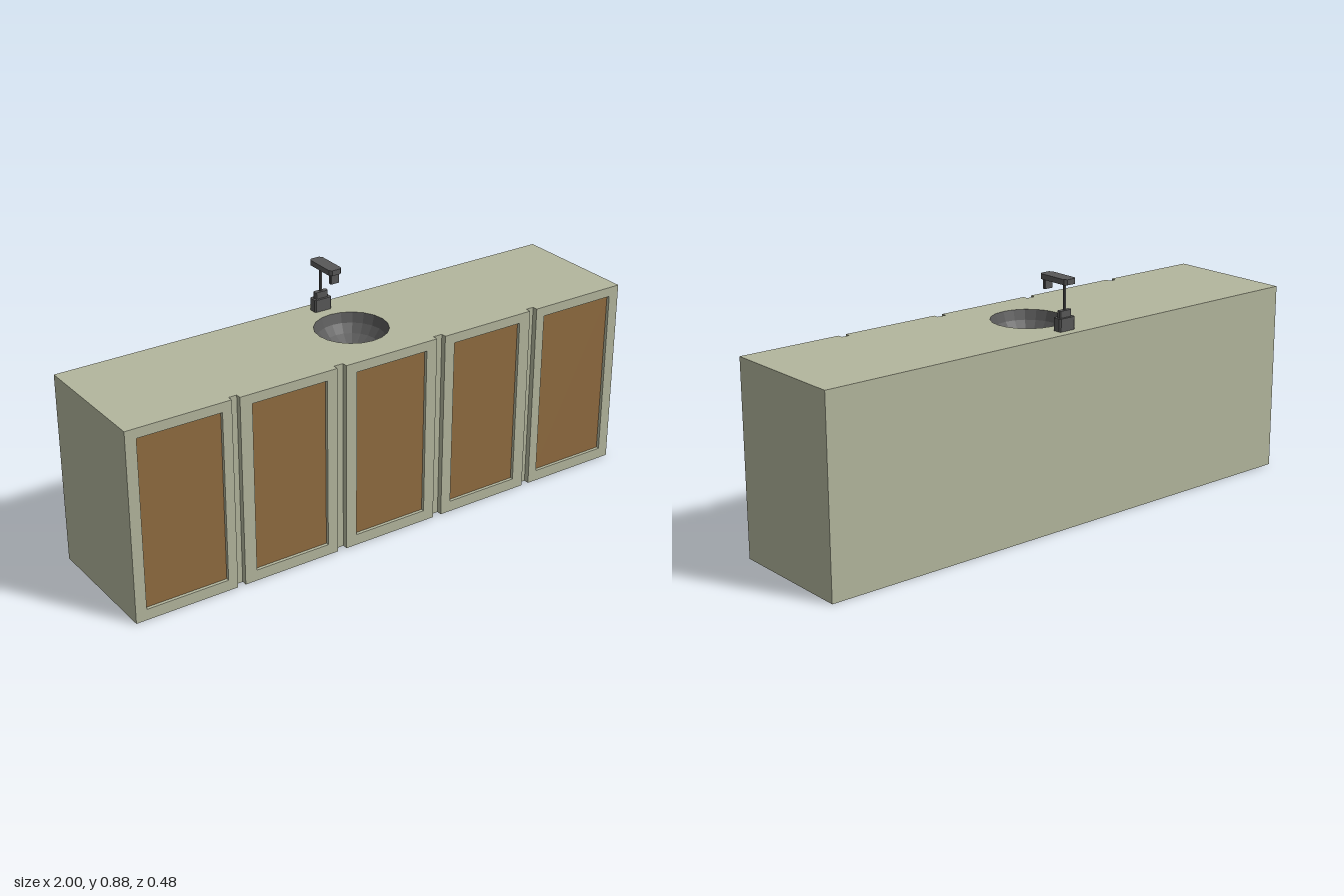
import * as THREE from 'three';

const paint = new THREE.MeshStandardMaterial({ color: 0xb3b69d });
const wood = new THREE.MeshStandardMaterial({ color: 0x8f6b3f });
const metal = new THREE.MeshStandardMaterial({ color: 0x585858, flatShading: true });
const bowlMetal = new THREE.MeshStandardMaterial({ color: 0x585858, flatShading: true, side: THREE.DoubleSide });

const HEIGHT = 0.695, BACK = -0.24, FRONT = 0.24, FACE = 0.22;
const SINK_R = 0.13, SINK_SIDES = 20;

function add(parent, name, geometry, material) {
  const mesh = new THREE.Mesh(geometry, material);
  mesh.name = name;
  parent.add(mesh);
  return mesh;
}

function box(x0, x1, y0, y1, z0, z1) {
  return new THREE.BoxGeometry(x1 - x0, y1 - y0, z1 - z0)
    .translate((x0 + x1) / 2, (y0 + y1) / 2, (z0 + z1) / 2);
}

function rect(Type, x0, x1, y0, y1) {
  return new Type([[x0, y0], [x1, y0], [x1, y1], [x0, y1]].map(([x, y]) => new THREE.Vector2(x, y)));
}

// Upright extrusion of a plan drawn as (x, -z)
function extrudeUp(shape, y0, y1) {
  return new THREE.ExtrudeGeometry(shape, { depth: y1 - y0, bevelEnabled: false })
    .rotateX(-Math.PI / 2).translate(0, y0, 0);
}

// Bar with cut corners in plan, centred on x = 0
function chamferBar(halfWidth, z0, z1, y0, y1, c) {
  const w = halfWidth, a = -z1, b = -z0;
  const plan = [[-w + c, a], [w - c, a], [w, a + c], [w, b - c], [w - c, b], [-w + c, b], [-w, b - c], [-w, a + c]];
  return extrudeUp(new THREE.Shape(plan.map(([x, y]) => new THREE.Vector2(x, y))), y0, y1);
}

export function createModel() {
  const model = new THREE.Group();
  model.name = 'sinkCabinet';

  // Carcass: solid lower block and a worktop block cut out for the bowl
  const split = 0.58;
  add(model, 'carcass', box(-1, 1, 0, split, BACK, FACE), paint);
  const top = rect(THREE.Shape, -1, 1, -FACE, -BACK);
  const ring = [];
  for (let i = 0; i < SINK_SIDES; i++) {
    const a = -i / SINK_SIDES * Math.PI * 2;
    ring.push(new THREE.Vector2(Math.sin(a) * SINK_R, Math.cos(a) * SINK_R));
  }
  top.holes.push(new THREE.Path(ring));
  add(model, 'worktop', extrudeUp(top, split, HEIGHT), paint);

  // Five framed doors: [frame left, frame right, panel left, panel right]
  const doors = [
    [-1, -0.62, -0.96, -0.655],
    [-0.59, -0.22, -0.545, -0.26],
    [-0.185, 0.185, -0.143, 0.143],
    [0.22, 0.59, 0.26, 0.545],
    [0.62, 1, 0.655, 0.96],
  ];
  for (const [x0, x1, p0, p1] of doors) {
    const door = new THREE.Group();
    door.name = 'door';
    const frame = rect(THREE.Shape, x0, x1, 0, HEIGHT);
    frame.holes.push(rect(THREE.Path, p0, p1, 0.04, 0.66));
    const geometry = new THREE.ExtrudeGeometry(frame, { depth: FRONT - FACE, bevelEnabled: false });
    add(door, 'doorFrame', geometry.translate(0, 0, FACE), paint);
    add(door, 'doorPanel', box(p0, p1, 0.04, 0.66, FACE, FACE + 0.008), wood);
    model.add(door);
  }

  // Sunken bowl
  const profile = [[0, -0.09], [0.06, -0.087], [0.095, -0.065], [0.118, -0.035], [SINK_R, 0]]
    .map(([r, y]) => new THREE.Vector2(r, HEIGHT + y));
  add(model, 'sinkBowl', new THREE.LatheGeometry(profile, SINK_SIDES), bowlMetal);

  // Tap
  const tap = new THREE.Group();
  tap.name = 'tap';
  add(tap, 'tapBase', chamferBar(0.034, -0.207, -0.171, HEIGHT, 0.74, 0.005), metal);
  add(tap, 'tapCollar', chamferBar(0.026, -0.198, -0.18, 0.74, 0.764, 0.004), metal);
  add(tap, 'tapStem', chamferBar(0.005, -0.193, -0.185, 0.764, 0.857, 0.002), metal);
  add(tap, 'tapArm', chamferBar(0.025, -0.223, -0.09, 0.857, 0.876, 0.009), metal);
  add(tap, 'tapSpout', chamferBar(0.018, -0.111, -0.097, 0.823, 0.857, 0.003), metal);
  model.add(tap);

  return model;
}
